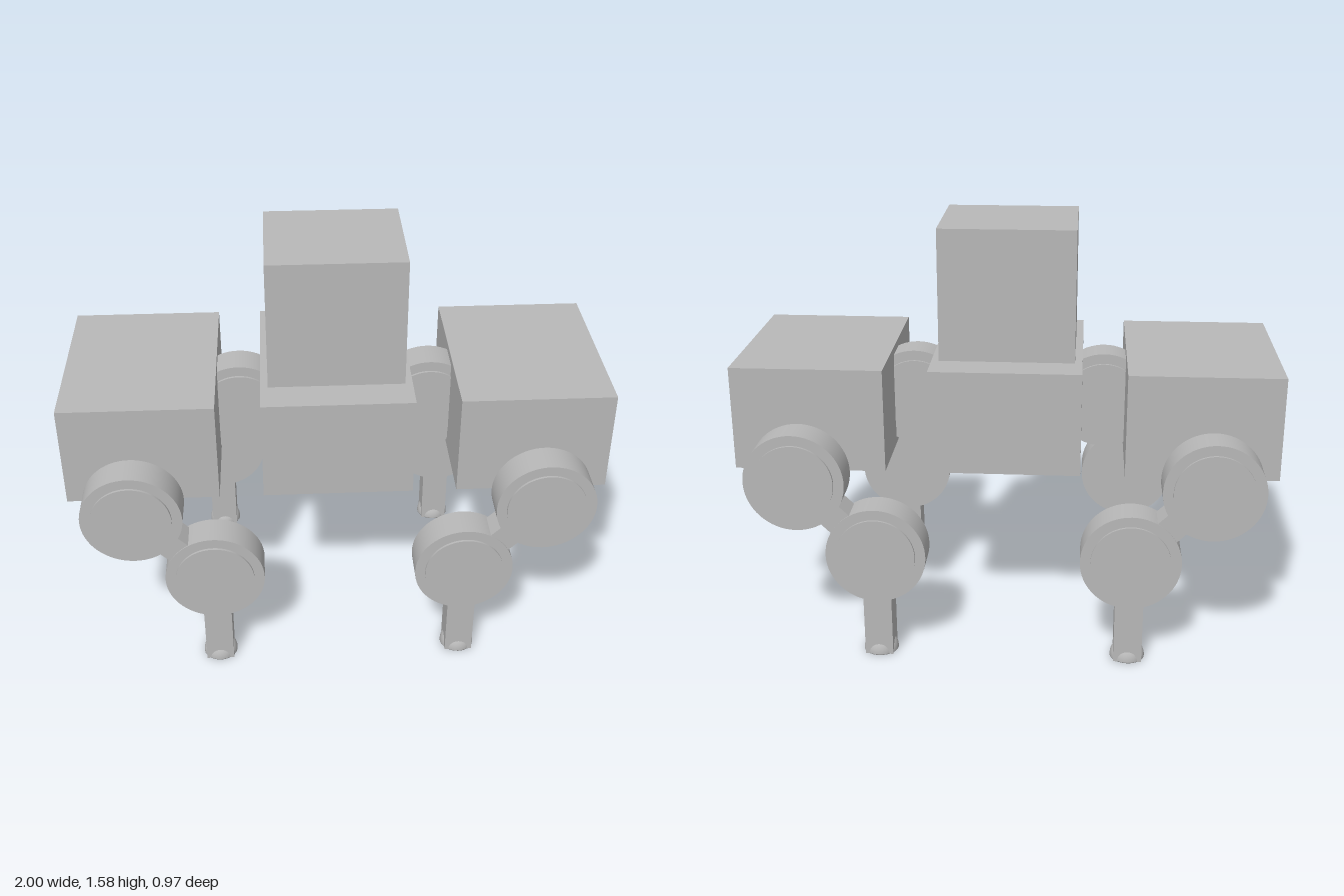
import * as THREE from 'three';

export function createModel() {
  const model = new THREE.Group();
  const grey = new THREE.MeshStandardMaterial({ color: 0xb8b8b8 });
  grey.name = 'plain grey';

  const add = (parent, name, geometry, x, y, z) => {
    const mesh = new THREE.Mesh(geometry, grey);
    mesh.name = name;
    mesh.position.set(x, y, z);
    parent.add(mesh);
    return mesh;
  };

  // Round joint facing z, with a thin raised cap
  const drum = new THREE.CylinderGeometry(0.185, 0.185, 0.122, 64).rotateX(Math.PI / 2);
  const cap = new THREE.CylinderGeometry(0.147, 0.147, 0.02, 64).rotateX(Math.PI / 2);
  const addJoint = (parent, name, x, y, capSides) => {
    const joint = new THREE.Group();
    joint.name = name;
    joint.position.set(x, y, 0);
    add(joint, name + 'Drum', drum, 0, 0, 0);
    for (const s of capSides) add(joint, name + 'Cap', cap, 0, 0, s * 0.06);
    parent.add(joint);
    return joint;
  };

  // Body blocks
  add(model, 'centreBody', new THREE.BoxGeometry(0.555, 0.39, 0.7), 0, 0.895, 0);
  add(model, 'head', new THREE.BoxGeometry(0.5, 0.49, 0.44), 0, 1.335, 0);
  const sideBody = new THREE.BoxGeometry(0.56, 0.39, 0.7);

  const hip = new THREE.Vector2(0.757, 0.697);
  const knee = new THREE.Vector2(0.468, 0.413);
  const span = knee.clone().sub(hip);
  const mid = hip.clone().add(knee).multiplyScalar(0.5);
  const linkGeometry = new THREE.BoxGeometry(span.length(), 0.1, 0.106);
  const shinGeometry = new THREE.BoxGeometry(0.105, 0.36, 0.106);

  // Domed foot with a flat sole
  const footProfile = [new THREE.Vector2(0, 0), new THREE.Vector2(0.0649, 0)];
  for (let i = 0; i <= 12; i++) {
    const a = (i / 12) * Math.PI / 2;
    footProfile.push(new THREE.Vector2(0.065 * Math.cos(a), 0.003 + 0.065 * Math.sin(a)));
  }
  const footGeometry = new THREE.LatheGeometry(footProfile, 32);
  const pegGeometry = new THREE.SphereGeometry(0.026, 16, 10);

  for (const sx of [1, -1]) {
    const side = sx > 0 ? 'left' : 'right';
    add(model, side + 'Body', sideBody, sx * 0.72, 0.895, 0);
    addJoint(model, side + 'BodyJoint', sx * 0.36, 0.893, [1, -1]).position.z = -0.005;

    // Front and back legs, capped on the outside
    for (const sz of [1, -1]) {
      const leg = new THREE.Group();
      leg.name = side + (sz > 0 ? 'Front' : 'Back') + 'Leg';
      leg.position.z = sz * 0.416;
      addJoint(leg, 'hip', sx * hip.x, hip.y, [sz]);
      addJoint(leg, 'knee', sx * knee.x, knee.y, [sz]);
      const link = add(leg, 'upperLeg', linkGeometry, sx * mid.x, mid.y, sz * 0.004);
      link.rotation.z = sx * Math.atan2(span.y, span.x);
      add(leg, 'lowerLeg', shinGeometry, sx * knee.x, 0.18, sz * 0.004);
      add(leg, 'foot', footGeometry, sx * knee.x, 0, sz * 0.004);
      add(leg, 'hipPeg', pegGeometry, sx * hip.x, hip.y + 0.006, -sz * 0.096);
      model.add(leg);
    }
  }
  return model;
}
